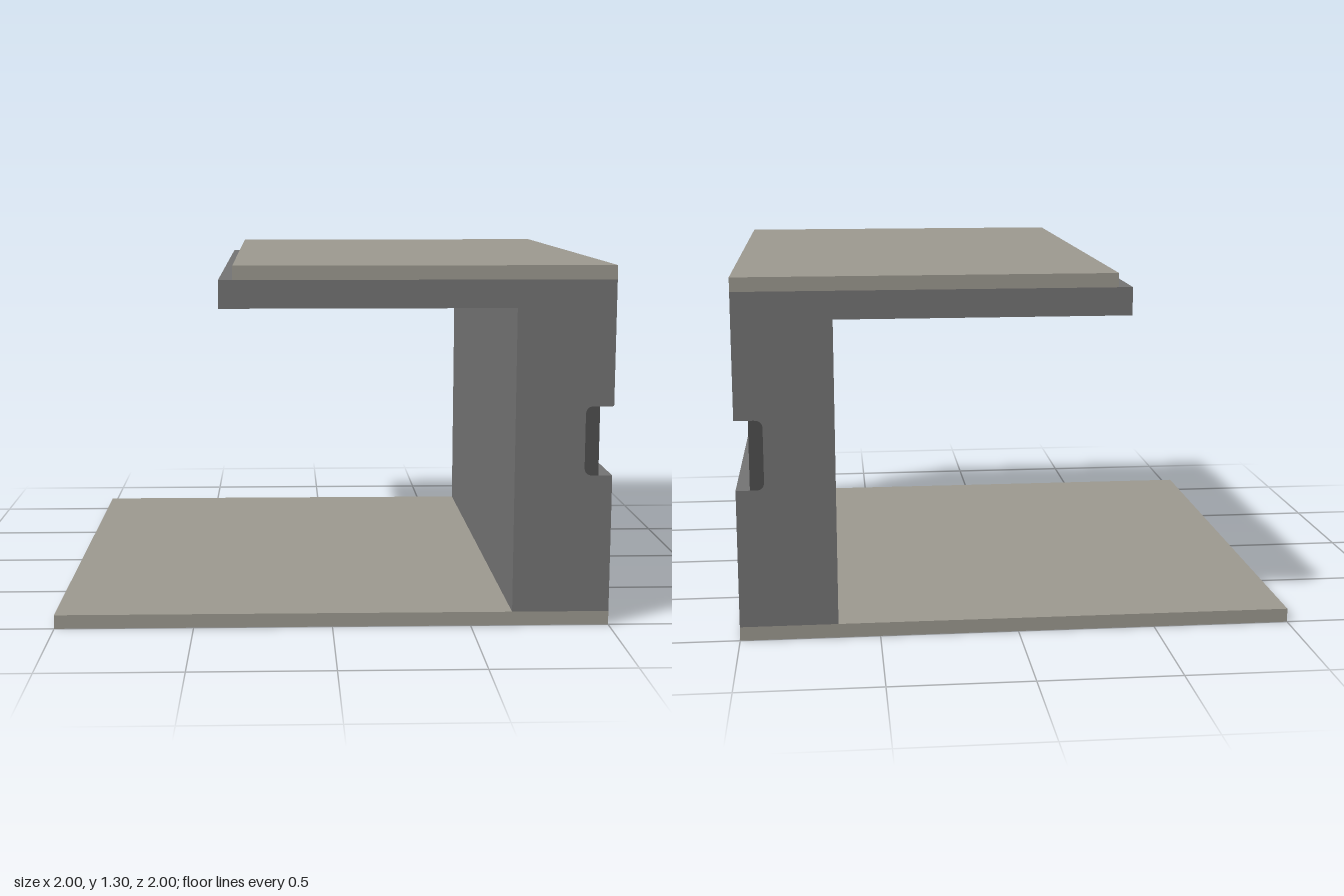
import * as THREE from 'three';

const DEPTH = 2;
const beige = new THREE.MeshStandardMaterial({ color: 0x9d9a90 });
beige.name = 'warm stone';
const grey = new THREE.MeshStandardMaterial({ color: 0x747474 });
grey.name = 'mid grey';
const dark = new THREE.MeshStandardMaterial({ color: 0x505050 });
dark.name = 'dark grey';

// Box given by its limits along each axis
function slab(name, material, x0, x1, y0, y1, z0 = -1, z1 = 1) {
  const mesh = new THREE.Mesh(new THREE.BoxGeometry(x1 - x0, y1 - y0, z1 - z0), material);
  mesh.position.set((x0 + x1) / 2, (y0 + y1) / 2, (z0 + z1) / 2);
  mesh.name = name;
  return mesh;
}

// Cross-section in x and y, extended along the full depth
function profile(name, material, shape) {
  const geometry = new THREE.ExtrudeGeometry(shape, { depth: DEPTH, bevelEnabled: false, curveSegments: 6 });
  geometry.translate(0, 0, -DEPTH / 2);
  const mesh = new THREE.Mesh(geometry, material);
  mesh.name = name;
  return mesh;
}

export function createModel() {
  const group = new THREE.Group();
  group.name = 'cantileverShelter';
  const r = 0.03;

  // Floor and roof plates
  group.add(slab('floorPlate', beige, -1, 1, 0, 0.05));
  group.add(slab('roofPlate', beige, -0.35, 1, 1.25, 1.3));

  // Wall and overhanging canopy with a rounded channel in the outer face
  const body = new THREE.Shape();
  body.moveTo(0.65, 0.05);
  body.lineTo(1, 0.05);
  body.lineTo(1, 0.55);
  body.lineTo(0.9 + r, 0.55);
  body.quadraticCurveTo(0.9, 0.55, 0.9, 0.55 + r);
  body.lineTo(0.9, 0.8 - r);
  body.quadraticCurveTo(0.9, 0.8, 0.9 + r, 0.8);
  body.lineTo(1, 0.8);
  body.lineTo(1, 1.25);
  body.lineTo(-0.4, 1.25);
  body.lineTo(-0.4, 1.15);
  body.lineTo(0.65, 1.15);
  body.closePath();
  group.add(profile('wallAndCanopy', grey, body));

  // Dark strip set at the bottom of the channel
  const strip = new THREE.Shape();
  strip.moveTo(0.95, 0.55);
  strip.lineTo(0.95, 0.8);
  strip.lineTo(0.9 + r, 0.8);
  strip.quadraticCurveTo(0.9, 0.8, 0.9, 0.8 - r);
  strip.lineTo(0.9, 0.55 + r);
  strip.quadraticCurveTo(0.9, 0.55, 0.9 + r, 0.55);
  strip.closePath();
  group.add(profile('channelStrip', dark, strip));

  // Panel under the canopy, framed by a narrow margin
  group.add(slab('ceilingPanel', beige, -0.35, 0.6, 1.147, 1.152, -0.95, 0.95));

  return group;
}
